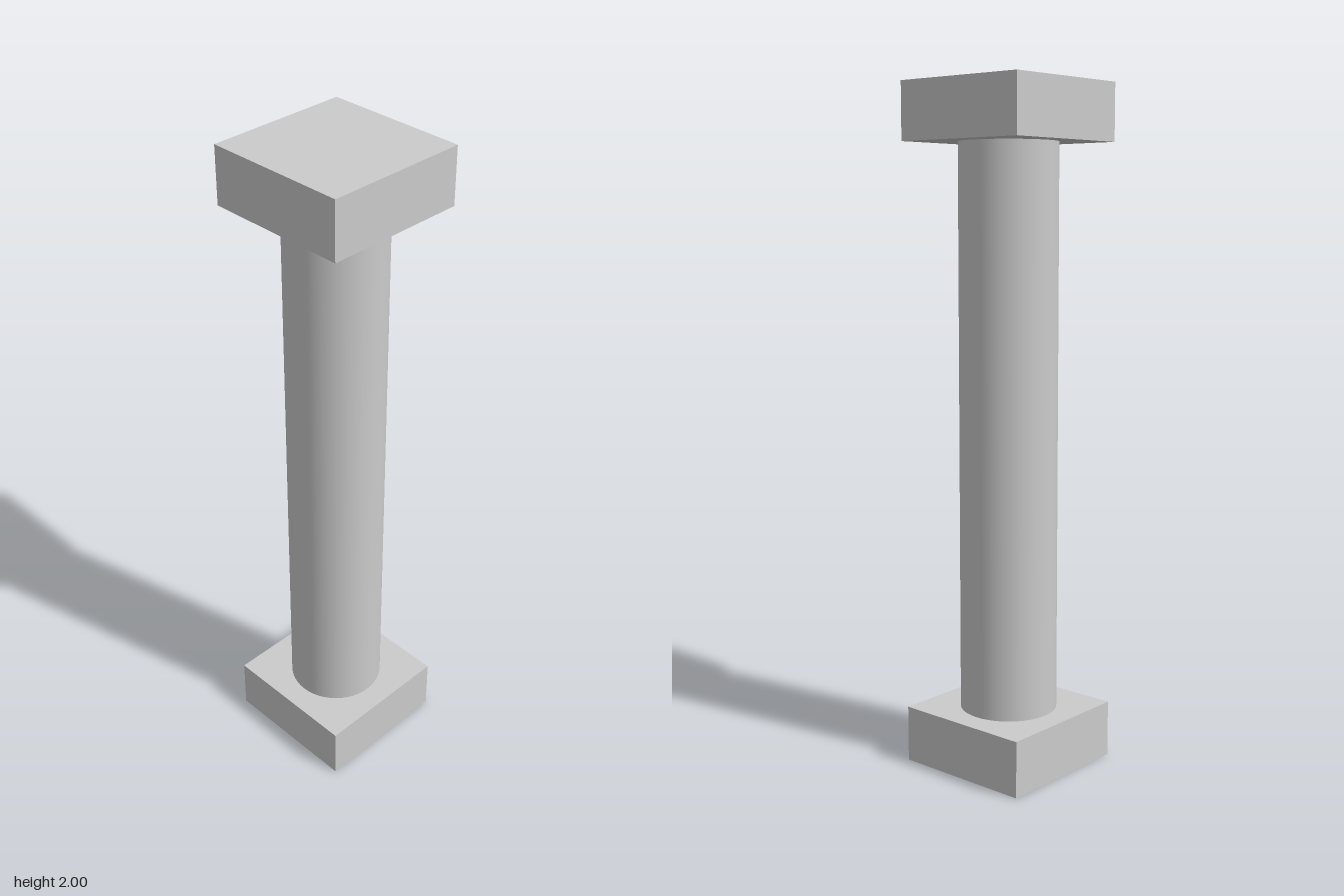
import * as THREE from 'three';

const HEIGHT = 2;
const BLOCK_WIDTH = 0.428;
const BLOCK_HEIGHT = 0.167;
const SHAFT_RADIUS = 0.144;

export function createModel() {
  const model = new THREE.Group();
  model.name = 'column';
  const material = new THREE.MeshStandardMaterial({ color: 0xcccccc });

  const add = (name, geometry, y) => {
    const mesh = new THREE.Mesh(geometry, material);
    mesh.name = name;
    mesh.position.y = y;
    model.add(mesh);
  };

  // Square blocks at the foot and the head
  const block = new THREE.BoxGeometry(BLOCK_WIDTH, BLOCK_HEIGHT, BLOCK_WIDTH);
  add('base', block, BLOCK_HEIGHT / 2);
  add('capital', block, HEIGHT - BLOCK_HEIGHT / 2);

  // Smooth round shaft between the blocks
  const shaftHeight = HEIGHT - 2 * BLOCK_HEIGHT;
  add('shaft', new THREE.CylinderGeometry(SHAFT_RADIUS, SHAFT_RADIUS, shaftHeight, 48, 1, true), HEIGHT / 2);

  return model;
}
